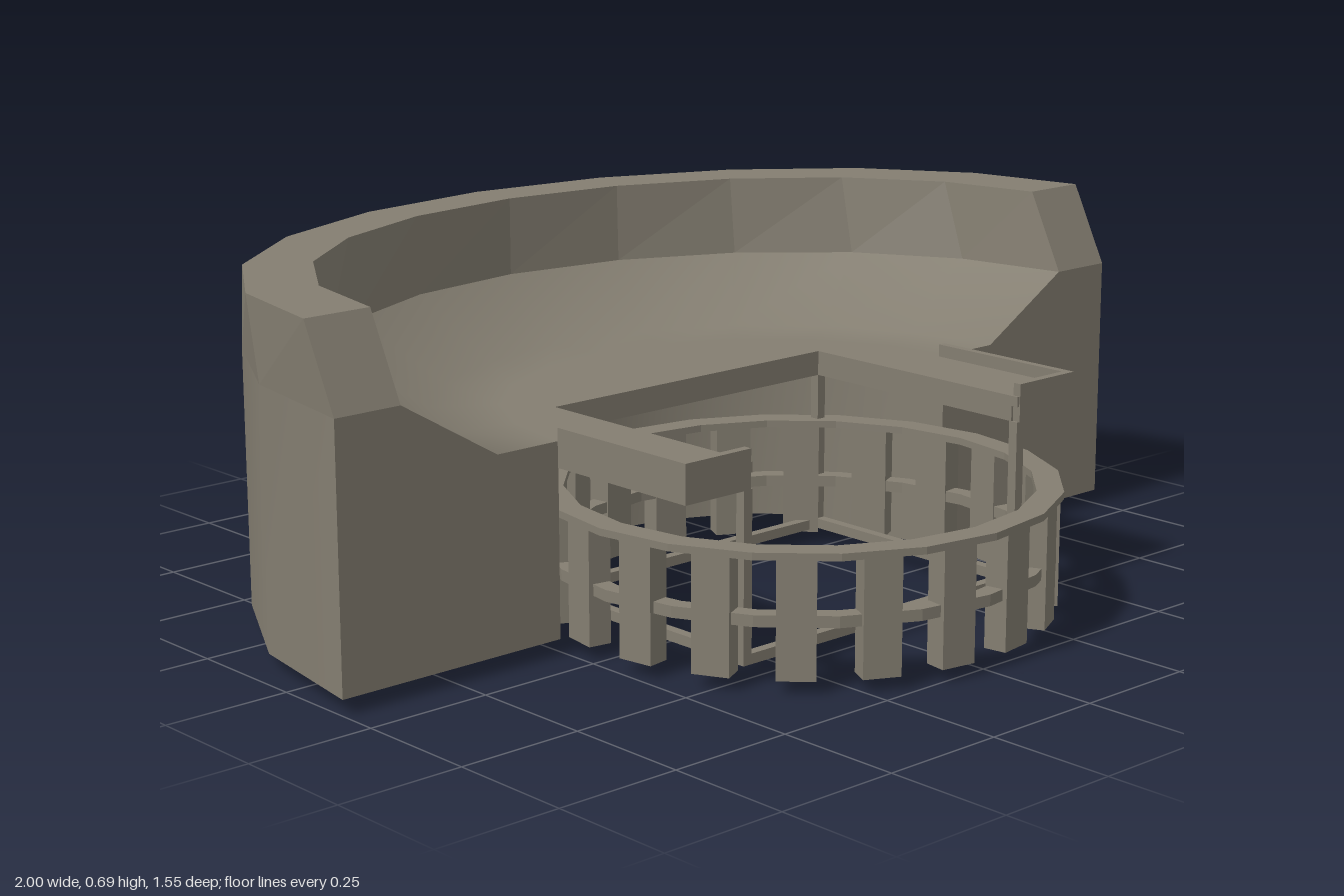
import * as THREE from 'three';

export function createModel() {
  const model = new THREE.Group();
  const stone = new THREE.MeshStandardMaterial({ color: 0x847e71 });
  stone.name = 'warmGreyStone';
  const SEG = 10;

  const add = (name, geo, x = 0, y = 0, z = 0, ry = 0, parent = model) => {
    const m = new THREE.Mesh(geo, stone);
    m.name = name;
    m.position.set(x, y, z);
    m.rotation.y = ry;
    parent.add(m);
    return m;
  };
  // Box given by its minimum and maximum corners
  const block = (name, x0, x1, y0, y1, z0, z1) => add(name,
    new THREE.BoxGeometry(x1 - x0, y1 - y0, z1 - z0),
    (x0 + x1) / 2, (y0 + y1) / 2, (z0 + z1) / 2);

  // Half-ellipse of points running from +x round the back to -x
  const arc = (rx, rz, cz, y) => Array.from({ length: SEG + 1 }, (_, i) => {
    const t = (Math.PI * i) / SEG;
    return [rx * Math.cos(t), y, cz - rz * Math.sin(t)];
  });

  // Surface lofted through successive arcs
  const band = (name, arcs, smooth) => {
    const index = [];
    const n = SEG + 1;
    for (let r = 0; r < arcs.length - 1; r++) {
      for (let i = 0; i < SEG; i++) {
        const a = r * n + i, b = a + 1, c = b + n, d = a + n;
        index.push(a, b, c, a, c, d);
      }
    }
    let geo = new THREE.BufferGeometry();
    geo.setAttribute('position', new THREE.Float32BufferAttribute(arcs.flat(2), 3));
    geo.setIndex(index);
    if (!smooth) geo = geo.toNonIndexed();
    geo.computeVertexNormals();
    add(name, geo);
  };

  // Cross-section of the curved terrace
  const outerBase = arc(1, 0.945, 0.17, 0.03);
  const outerEdge = arc(1, 0.945, 0.17, 0.53);
  const rimOuter = arc(1, 0.79, 0.09, 0.69);
  const rimInner = arc(0.86, 0.68, 0.09, 0.69);
  const bowlTop = arc(0.86, 0.76, 0.17, 0.53);
  const bowlFoot = arc(0.65, 0.615, 0.17, 0.405);
  const innerTop = arc(0.51, 0.48, 0.17, 0.405);
  const innerBase = arc(0.51, 0.48, 0.17, 0.03);
  const midBase = arc(0.65, 0.615, 0.17, 0.03);
  innerBase[0][1] = innerBase[1][1] = 0; // sunken corner of the footing

  band('outerWall', [outerBase, outerEdge], true);
  band('parapetSlope', [outerEdge, rimOuter], false);
  band('parapetTop', [rimOuter, rimInner], false);
  band('parapetInnerWall', [rimInner, bowlTop], false);
  band('bowl', [bowlTop, bowlFoot, innerTop], true);
  band('innerWall', [innerTop, innerBase], true);
  band('underside', [innerBase, midBase, outerBase], false);

  // End faces of the terrace
  const section = [outerBase, outerEdge, rimOuter, rimInner, bowlTop,
    bowlFoot, innerTop, innerBase, midBase];
  const tris = [[0, 1, 4], [0, 4, 8], [4, 5, 8], [5, 6, 8], [6, 7, 8], [1, 2, 3], [1, 3, 4]];
  for (const [name, at] of [['leftEndFace', 0], ['rightEndFace', SEG]]) {
    const pts = tris.flatMap((t) => (at ? [...t].reverse() : t).map((k) => section[k][at]));
    const geo = new THREE.BufferGeometry();
    geo.setAttribute('position', new THREE.Float32BufferAttribute(pts.flat(), 3));
    geo.computeVertexNormals();
    add(name, geo);
  }

  // Horizontal slab extruded upward from a plan outline
  const slab = (shape, height) => new THREE.ExtrudeGeometry(shape,
    { depth: height, bevelEnabled: false }).rotateX(-Math.PI / 2);
  const v2 = (x, z) => new THREE.Vector2(x, -z);

  // U-shaped platform floor
  const outline = [v2(0.35, 0.51), v2(0.51, 0.51),
    ...innerTop.map(([x, , z]) => v2(x, z)),
    v2(-0.51, 0.51), v2(-0.35, 0.51), v2(-0.35, -0.03), v2(0.35, -0.03)];
  add('platformFloor', slab(new THREE.Shape(outline), 0.02), 0, 0.385, 0);

  // Beams under the opening and the low frame on the ground
  block('backBeam', -0.37, 0.37, 0.355, 0.386, -0.05, -0.03);
  block('backSill', -0.37, 0.37, 0.03, 0.05, -0.05, -0.03);
  block('frontSill', -0.37, 0.37, 0.03, 0.05, 0.49, 0.51);

  for (const s of [-1, 1]) {
    const side = s > 0 ? 'left' : 'right';
    const mirrored = (name, a, b, ...rest) =>
      block(side + name, Math.min(s * a, s * b), Math.max(s * a, s * b), ...rest);
    mirrored('Beam', 0.35, 0.37, 0.355, 0.386, -0.03, 0.495);
    mirrored('Sill', 0.35, 0.37, 0.03, 0.05, -0.03, 0.49);
    mirrored('BackPost', 0.35, 0.37, 0.05, 0.355, -0.05, -0.03);
    mirrored('FrontPost', 0.35, 0.37, 0.05, 0.355, 0.49, 0.51);
    mirrored('SideParapet', 0.495, 0.511, 0.355, 0.43, 0.17, 0.512);
    mirrored('FrontParapet', 0.355, 0.495, 0.355, 0.43, 0.495, 0.512);
  }

  // Round fence: two rails and a ring of slats
  const fence = new THREE.Group();
  fence.name = 'fence';
  fence.position.z = 0.273;
  model.add(fence);
  const SIDES = 20;
  const polygon = (r) => Array.from({ length: SIDES }, (_, i) => {
    const t = (2 * Math.PI * i) / SIDES;
    return new THREE.Vector2(r * Math.cos(t), r * Math.sin(t));
  });
  const rail = (name, inner, outer, y, height) => {
    const shape = new THREE.Shape(polygon(outer));
    shape.holes.push(new THREE.Path(polygon(inner)));
    add(name, slab(shape, height), 0, y, 0, 0, fence);
  };
  rail('topRail', 0.45, 0.502, 0.248, 0.014);
  rail('middleRail', 0.455, 0.49, 0.122, 0.022);

  const slatGeo = new THREE.BoxGeometry(0.072, 0.225, 0.046);
  for (let i = 0; i < SIDES; i++) {
    const t = (2 * Math.PI * (i + 0.5)) / SIDES;
    add('slat', slatGeo, 0.47 * Math.sin(t), 0.1375, 0.47 * Math.cos(t), t, fence);
  }

  return model;
}
